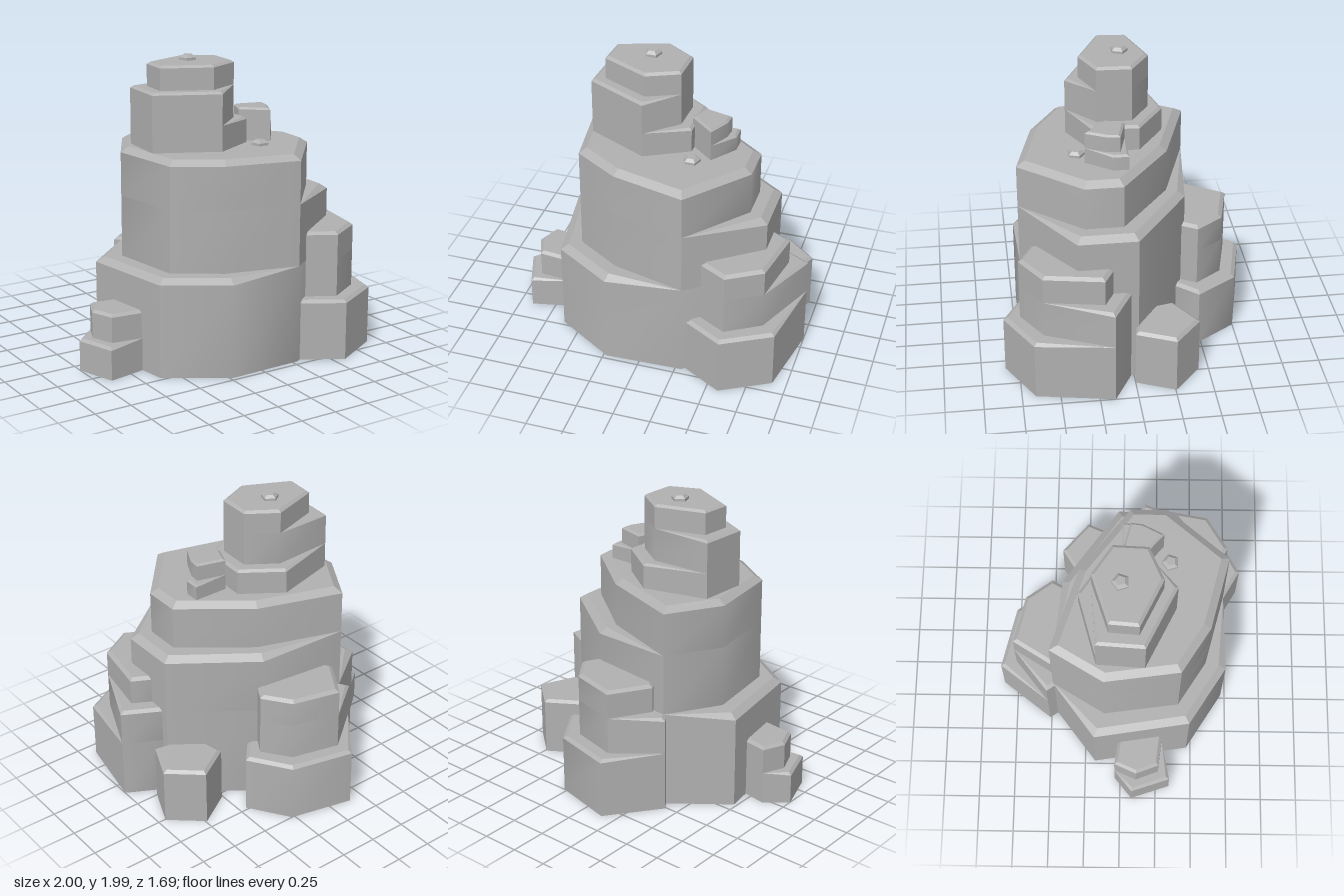
import * as THREE from 'three';
import { toCreasedNormals, mergeGeometries } from 'three/addons/utils/BufferGeometryUtils.js';

const stone = new THREE.MeshStandardMaterial({ color: 0xb0b0b0 });
stone.name = 'grey stone';

function geometryFrom(positions) {
  const g = new THREE.BufferGeometry();
  g.setAttribute('position', new THREE.Float32BufferAttribute(positions, 3));
  g.computeVertexNormals();
  return g;
}

// One step of a rock: a prism with a chamfered top rim.
// Points are [x, z, keep]; keep = 1 leaves the corner square, flush with the step above.
function step(points, y0, y1, inset, drop, closed) {
  const flat = points.map(([x, z]) => new THREE.Vector2(x, z));
  if (THREE.ShapeUtils.area(flat) < 0) { flat.reverse(); points = [...points].reverse(); }
  const n = flat.length;
  const inward = flat.map((p, i) => {
    const q = flat[(i + 1) % n];
    return new THREE.Vector2(p.y - q.y, q.x - p.x).normalize();
  });
  const low = [], rim = [], top = [];
  flat.forEach((p, i) => {
    const keep = points[i][2] === 1;
    const a = inward[(i + n - 1) % n], b = inward[i];
    const k = keep ? 0 : inset / Math.max(0.4, 1 + a.dot(b));
    low.push([p.x, y0, p.y]);
    rim.push([p.x, keep ? y1 : y1 - drop, p.y]);
    top.push([p.x + (a.x + b.x) * k, y1, p.y + (a.y + b.y) * k]);
  });
  const sides = [], caps = [];
  for (let i = 0; i < n; i++) {
    const j = (i + 1) % n, ki = points[i][2] === 1, kj = points[j][2] === 1;
    sides.push(...low[j], ...low[i], ...rim[i], ...low[j], ...rim[i], ...rim[j]);
    if (!ki) caps.push(...rim[j], ...rim[i], ...top[i]);
    if (!kj) caps.push(...rim[j], ...top[i], ...top[j]);
  }
  const outline = top.map(([x, , z]) => new THREE.Vector2(x, z));
  for (const [a, b, c] of THREE.ShapeUtils.triangulateShape(outline, [])) {
    caps.push(...top[a], ...top[c], ...top[b]);
  }
  if (closed) {
    for (const [a, b, c] of THREE.ShapeUtils.triangulateShape(flat, [])) {
      caps.push(...low[a], ...low[b], ...low[c]);
    }
  }
  return mergeGeometries([toCreasedNormals(geometryFrom(sides), 0.75), geometryFrom(caps)]);
}

// A rock is a stack of steps, each [top height, outline].
function rock(name, y0, inset, drop, steps) {
  const group = new THREE.Group();
  group.name = name;
  let y = y0;
  steps.forEach(([top, points], i) => {
    const mesh = new THREE.Mesh(step(points, y, top, inset, drop, i === 0), stone);
    mesh.name = `${name}Step${i + 1}`;
    group.add(mesh);
    y = top;
  });
  return group;
}

// Mark outline corners as flush with the step above.
const flush = (points) => points.map(([x, z]) => [x, z, 1]);

export function createModel() {
  const model = new THREE.Group();
  model.name = 'steppedRock';

  // Main body
  const backCorner = [-0.36, -0.465], frontCorner = [0.29, 0.705];
  const leftSide = [[-0.2, 0.58], [-0.5, 0.39], [-0.57, -0.11]];
  const rightSide = [[0.24, -0.4], [0.76, -0.03], [0.76, 0.36]];
  const corners = flush([backCorner, frontCorner]);
  model.add(rock('mainRock', 0, 0.05, 0.035, [
    [0.66, [corners[0], ...flush(rightSide), corners[1],
      [-0.23, 0.72], [-0.625, 0.47], [-0.73, -0.18]]],
    [1.075, [corners[0], ...rightSide, corners[1], ...flush(leftSide)]],
    [1.4, [backCorner, [0.2, -0.28], [0.63, 0.05], [0.63, 0.3], frontCorner, ...leftSide]],
  ]));

  // Front right outcrop
  const frontFace = [[0.81, 0.59], [0.58, 0.73], [0.4, 0.63]];
  model.add(rock('frontRock', 0, 0.025, 0.018, [
    [0.41, [[0.45, 0.1, 1], [0.76, 0.02, 1], [1, 0.15, 1], [0.905, 0.66], [0.58, 0.84], [0.32, 0.69]]],
    [0.66, [[0.45, 0.1, 1], [0.76, 0.02], [1, 0.15], ...flush(frontFace)]],
    [0.85, [[0.45, 0.15], [0.75, 0.13], [0.88, 0.2], ...frontFace]],
  ]));

  // Back outcrop
  const backFace = [[-0.12, -0.74], [0.2, -0.66], [0.33, -0.48]];
  model.add(rock('backRock', 0, 0.025, 0.018, [
    [0.41, [[-0.2, -0.2, 1], [-0.41, -0.51, 1], [-0.15, -0.85], [0.27, -0.75], [0.45, -0.48], [0.32, -0.33]]],
    [0.66, [[-0.2, -0.2, 1], [-0.41, -0.51], ...flush(backFace), [0.25, -0.34, 1]]],
    [0.85, [[-0.15, -0.25], [-0.28, -0.48], ...backFace, [0.25, -0.34]]],
  ]));

  // Low side boulder
  model.add(rock('sideBoulder', 0, 0.022, 0.018, [
    [0.4, [[0.51, -0.29], [0.74, -0.435], [0.95, -0.255], [0.84, 0], [0.56, -0.05]]],
  ]));

  // Left boulder
  model.add(rock('leftBoulder', 0, 0.02, 0.018, [
    [0.22, [[-0.6, 0, 1], [-0.855, -0.04, 1], [-1, 0.08], [-0.91, 0.345], [-0.64, 0.29, 1]]],
    [0.41, [[-0.6, 0], [-0.855, -0.04], [-0.92, 0.11], [-0.86, 0.265], [-0.64, 0.29]]],
  ]));

  // Summit
  const summitLeft = [[-0.465, -0.16], [-0.485, 0.155], [-0.08, 0.355]];
  const summitRight = [[0.125, 0.17], [0.135, -0.06], [-0.06, -0.19]];
  model.add(rock('summitRock', 1.4, 0.02, 0.015, [
    [1.57, [...flush(summitLeft), [0.205, 0.205], [0.22, -0.1], [-0.04, -0.28]]],
    [1.79, [...summitLeft, ...flush(summitRight)]],
    [1.95, [[-0.385, -0.08], [-0.4, 0.115], [-0.09, 0.265], ...summitRight]],
  ]));

  // Small rock on the upper ledge
  model.add(rock('ledgeRock', 1.4, 0.015, 0.012, [
    [1.505, [[0.24, 0, 1], [0.475, 0], [0.475, 0.1], [0.35, 0.27, 1], [0.19, 0.13, 1]]],
    [1.62, [[0.24, 0], [0.43, 0.05], [0.42, 0.13], [0.35, 0.27], [0.19, 0.13]]],
  ]));

  // Pebbles
  for (const [x, y, z] of [[-0.118, 1.95, -0.005], [0.238, 1.4, 0.315]]) {
    const ring = Array.from({ length: 5 }, (_, i) => {
      const a = (i / 5) * Math.PI * 2 - Math.PI / 2;
      return [x + 0.058 * Math.cos(a), z + 0.058 * Math.sin(a)];
    });
    model.add(rock('pebble', y, 0.02, 0.018, [[y + 0.035, ring]]));
  }
  return model;
}
